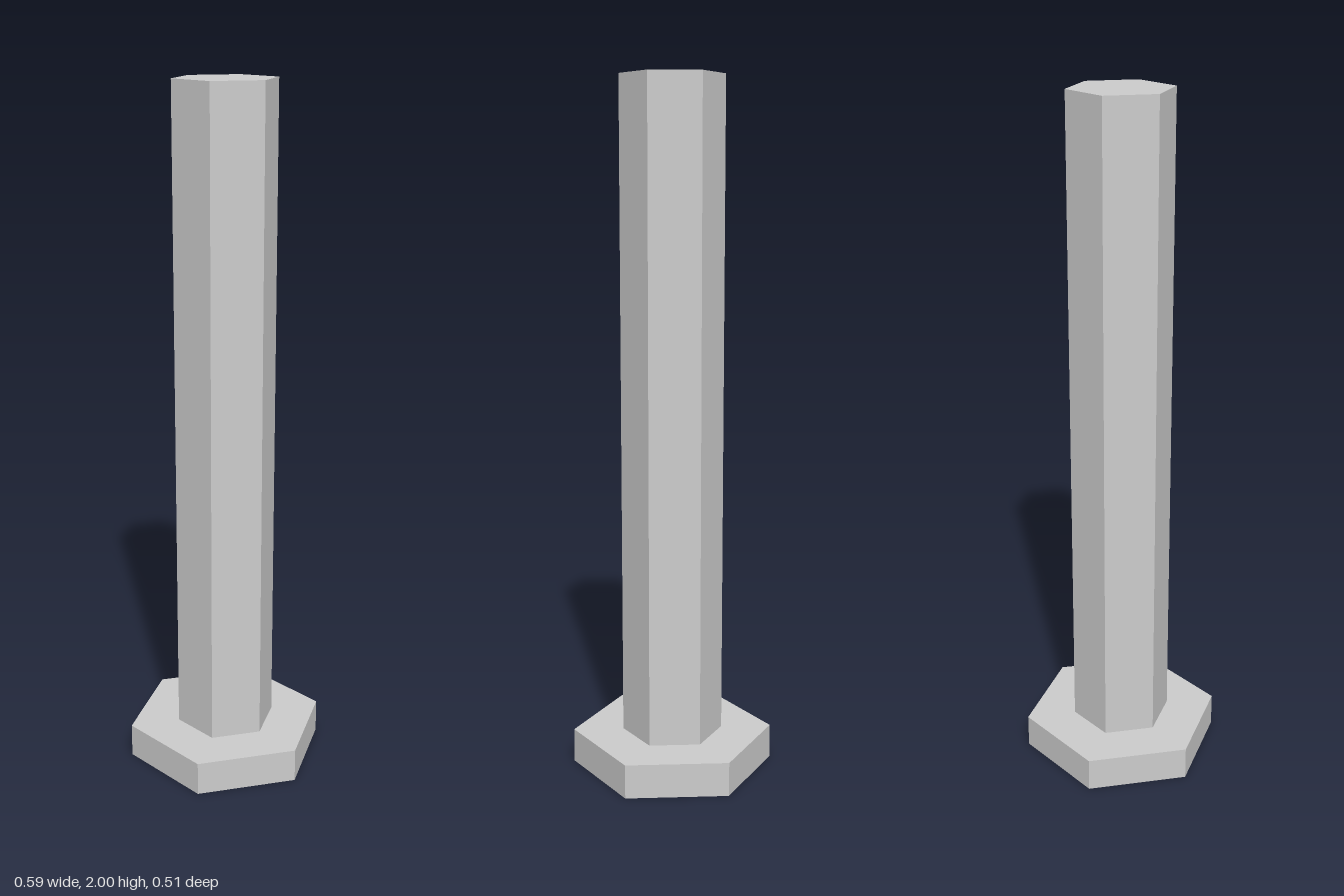
import * as THREE from 'three';

const material = new THREE.MeshStandardMaterial({ color: 0xcccccc, flatShading: true });

// Upright hexagonal prism with corners on the x axis
function hexPrism(name, radius, bottom, top) {
  const geometry = new THREE.CylinderGeometry(radius, radius, top - bottom, 6, 1, false, Math.PI / 6);
  const mesh = new THREE.Mesh(geometry, material);
  mesh.name = name;
  mesh.position.y = (bottom + top) / 2;
  return mesh;
}

export function createModel() {
  const bolt = new THREE.Group();
  bolt.name = 'bolt';
  const headHeight = 0.1;
  bolt.add(hexPrism('head', 0.294, 0, headHeight));
  bolt.add(hexPrism('shaft', 0.147, headHeight, 2));
  return bolt;
}
